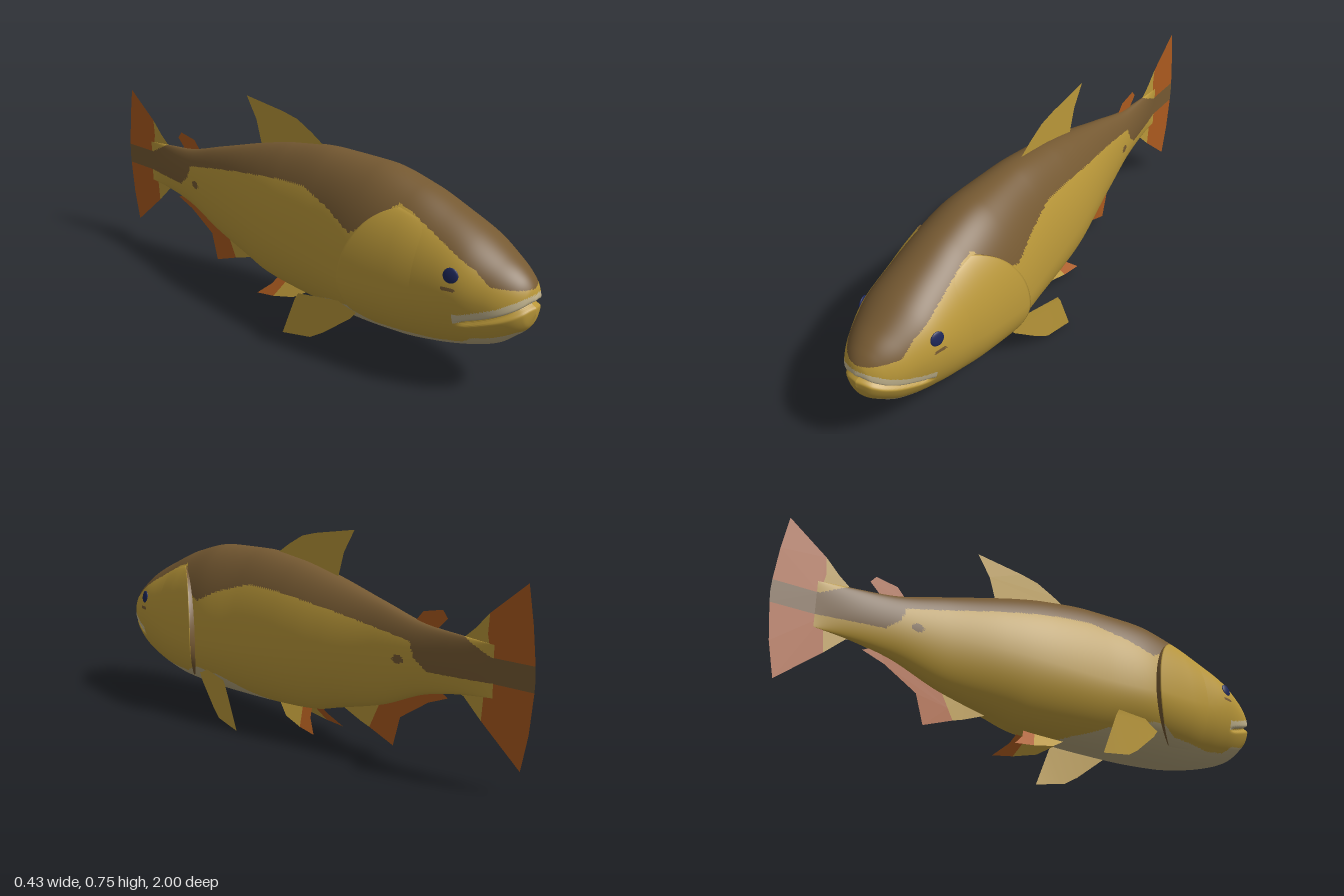
import * as THREE from 'three';

const mat = (name, color, side = THREE.FrontSide) => {
  const m = new THREE.MeshStandardMaterial({ color, side });
  m.name = name;
  return m;
};

// Body stations from nose to tail: z, top, bottom, height of widest point, half width
const STATIONS = [
  [1, 0.335, 0.3, 0.315, 0], [0.985, 0.385, 0.255, 0.318, 0.05], [0.945, 0.427, 0.213, 0.32, 0.092],
  [0.89, 0.462, 0.17, 0.33, 0.123], [0.8, 0.515, 0.135, 0.338, 0.157], [0.7, 0.56, 0.11, 0.318, 0.175],
  [0.57, 0.61, 0.09, 0.297, 0.189], [0.4, 0.645, 0.082, 0.29, 0.195], [0.2, 0.647, 0.08, 0.295, 0.174],
  [0, 0.625, 0.086, 0.31, 0.153], [-0.1, 0.605, 0.095, 0.32, 0.138], [-0.2, 0.58, 0.12, 0.33, 0.118],
  [-0.4, 0.525, 0.172, 0.345, 0.073], [-0.6, 0.473, 0.248, 0.36, 0.04], [-0.74, 0.46, 0.274, 0.367, 0.02],
  [-0.85, 0.45, 0.285, 0.37, 0],
];
// Lower edge of the dark back, and upper edge of the pale belly: z, y
const BACK_EDGE = [
  [1, 0.38], [0.9, 0.39], [0.85, 0.43], [0.8, 0.455], [0.75, 0.48], [0.6, 0.55], [0.55, 0.565], [0.5, 0.52], [0.45, 0.47], [0.4, 0.445],
  [0.3, 0.49], [0.15, 0.53], [0, 0.52], [-0.2, 0.49], [-0.4, 0.45], [-0.55, 0.42], [-0.57, 0.37], [-0.62, 0.33], [-1, 0.33],
];
const BELLY_EDGE = [
  [1, 0.24], [0.9, 0.24], [0.8, 0.167], [0.7, 0.15], [0.5, 0.152], [0.42, 0.185], [0.3, 0.17], [0.18, 0.12], [0.04, 0.08], [-1, 0],
];

// Monotone smooth interpolation of column k in a table sorted by falling z
function sample(table, z, k) {
  let i = 0;
  while (i < table.length - 2 && z < table[i + 1][0]) i++;
  const slope = (j) => (table[j + 1][k] - table[j][k]) / (table[j + 1][0] - table[j][0]);
  const tangent = (j) => {
    if (j === 0) return slope(0);
    if (j === table.length - 1) return slope(j - 1);
    const a = slope(j - 1), b = slope(j);
    return a * b <= 0 ? 0 : (2 * a * b) / (a + b);
  };
  const h = table[i + 1][0] - table[i][0];
  const t = THREE.MathUtils.clamp((z - table[i][0]) / h, 0, 1), t2 = t * t, t3 = t2 * t;
  return (2 * t3 - 3 * t2 + 1) * table[i][k] + (t3 - 2 * t2 + t) * h * tangent(i)
    + (3 * t2 - 2 * t3) * table[i + 1][k] + (t3 - t2) * h * tangent(i + 1);
}

function linear(table, z) {
  let i = 0;
  while (i < table.length - 2 && z < table[i + 1][0]) i++;
  const [z0, y0] = table[i], [z1, y1] = table[i + 1];
  return THREE.MathUtils.lerp(y0, y1, (z - z0) / (z1 - z0));
}

// Point on the body at station z and angle a (0 = left side, 90 degrees = top)
function surface(z, a, grow = 0) {
  const [top, bottom, mid, width] = [1, 2, 3, 4].map((k) => sample(STATIONS, z, k));
  const s = Math.sin(a), c = Math.cos(a);
  return new THREE.Vector3((width + grow) * c, mid + s * (s > 0 ? top - mid : mid - bottom), z);
}

const mouthLine = (x) => 0.335 - 4.2 * x * x;

// Material slot: 0 gold, 1 back, 2 belly, 3 lip
function skin({ x, y, z }) {
  const lip = y - mouthLine(x), across = Math.abs(x);
  if (z > 0.8 && lip > -0.005 && lip < 0.027 + 0.1 * across) return 3;
  if (z < -0.73) return y > 0.33 && y < 0.41 + Math.max(0, z + 0.84) * 0.5 ? 1 : 0;
  // Spot near the tail, and a small mark under the eye
  if (Math.hypot((z + 0.51) * 0.75, y - 0.355) < 0.015) return 1;
  if (Math.hypot((z - 0.785) * 0.25, y - 0.364) < 0.006) return 1;
  if (y > linear(BACK_EDGE, z) && (z < 0.58 || across < 0.12)) return 1;
  const chin = z > 0.75 ? 0.24 - Math.max(0, across - 0.04) * 0.7 : 1;
  return y < Math.min(chin, linear(BELLY_EDGE, z)) ? 2 : 0;
}

// Grid surface with its faces sorted into material groups
function loft(name, rows, cols, closed, point, slot, materials) {
  const pts = [], faces = materials.map(() => []);
  const n = closed ? cols : cols + 1;
  for (let i = 0; i <= rows; i++) for (let j = 0; j < n; j++) pts.push(point(i / rows, j / cols));
  for (let i = 0; i < rows; i++) for (let j = 0; j < cols; j++) {
    const a = i * n + j, b = i * n + ((j + 1) % n), c = a + n, d = b + n;
    for (const tri of [[a, c, b], [b, c, d]]) {
      const centre = new THREE.Vector3();
      tri.forEach((v) => centre.addScaledVector(pts[v], 1 / 3));
      faces[slot(centre, i / rows)].push(...tri);
    }
  }
  const geo = new THREE.BufferGeometry().setFromPoints(pts);
  geo.setIndex(faces.flat());
  let start = 0;
  faces.forEach((f, k) => { if (f.length) geo.addGroup(start, f.length, k); start += f.length; });
  geo.computeVertexNormals();
  const mesh = new THREE.Mesh(geo, materials);
  mesh.name = name;
  return mesh;
}

// Flat fin from a z, y outline; xOf leans it sideways
function fin(name, material, outline, xOf = () => 0) {
  const geo = new THREE.ShapeGeometry(new THREE.Shape(outline.map(([z, y]) => new THREE.Vector2(z, y))));
  const p = geo.attributes.position;
  for (let i = 0; i < p.count; i++) {
    const z = p.getX(i), y = p.getY(i);
    p.setXYZ(i, xOf(z, y), y, z);
  }
  geo.computeVertexNormals();
  const mesh = new THREE.Mesh(geo, material);
  mesh.name = name;
  return mesh;
}

export function createModel() {
  const group = new THREE.Group();
  group.name = 'fish';
  const gold = mat('gold flank', 0xb99739), back = mat('brown back', 0x755932);
  const belly = mat('pale belly', 0xb6a67c), lip = mat('pale lip', 0xc2b48e), eye = mat('dark blue eye', 0x1c2658);
  const goldFin = mat('gold fin', 0xb99739, THREE.DoubleSide);
  const orangeFin = mat('orange fin', 0xab5a1f, THREE.DoubleSide);
  const brownFin = mat('brown fin', 0x755932, THREE.DoubleSide);
  const skins = [gold, back, belly, lip];

  // Body, with the mouth pressed in along its line
  group.add(loft('body', 220, 210, true, (u, v) => {
    const p = surface(1 - 1.85 * Math.pow(u, 1.5), v * Math.PI * 2);
    const depth = Math.exp(-(((p.y - mouthLine(p.x) + 0.003) / 0.008) ** 2)) * THREE.MathUtils.smoothstep(p.z, 0.79, 0.86);
    p.x *= 1 - 0.1 * depth;
    p.z -= 0.018 * depth;
    return p;
  }, skin, skins));

  for (const side of [1, -1]) {
    const label = side > 0 ? 'left' : 'right';

    // Gill cover, lifting off the body towards its round rear edge
    group.add(loft(label + 'GillCover', 45, 70, false, (u, v) => {
      const t = side > 0 ? v : 1 - v;
      const a = THREE.MathUtils.lerp(-0.95, 0.97, t);
      const edge = 0.39 + (a > 0 ? 0.18 : 0.13) * a * a;
      const s = Math.min(u / 0.975, 1);
      const lift = u > 0.98 ? -0.006 : -0.004 + 0.026 * Math.pow(s, 1.3) * Math.pow(Math.sin(Math.PI * t), 0.4);
      return surface(THREE.MathUtils.lerp(0.74, edge, s), side > 0 ? a : Math.PI - a, lift);
    }, (c, u) => {
      if (u > 0.97) return 1;
      const own = skin(c);
      return c.z < 0.6 && own === 1 ? 0 : own;
    }, skins));

    // Eye, almost flush with the head
    const ball = new THREE.Mesh(new THREE.SphereGeometry(0.025, 20, 14), eye);
    ball.name = label + 'Eye';
    ball.scale.x = 0.25;
    ball.position.set(side * 0.1485, 0.407, 0.788);
    ball.rotation.set(0, side * -0.25, side * 0.15);
    group.add(ball);

    // Pectoral fin
    group.add(fin(label + 'PectoralFin', goldFin, [
      [0.44, 0.18], [0.4, 0.13], [0.3, 0.05], [0.25, 0.02], [0.13, 0], [0.19, 0.15], [0.205, 0.175], [0.36, 0.185],
    ], (z) => side * Math.min(0.148 + (0.43 - z) * 0.25, 0.206)));

    // Pelvic fin
    const splay = (z, y) => side * (0.025 + (0.09 - y) * 0.7);
    group.add(fin(label + 'PelvicFin', goldFin, [
      [0.1, 0.092], [0.03, 0.05], [-0.06, 0.03], [-0.03, 0.09], [-0.02, 0.1],
    ], splay));
    group.add(fin(label + 'PelvicFinTip', orangeFin, [
      [-0.02, 0.1], [-0.03, 0.09], [-0.06, 0.03], [-0.14, 0.02], [-0.09, 0.065], [-0.07, 0.105],
    ], splay));
  }

  // Fins along the middle
  group.add(fin('dorsalFin', goldFin, [
    [0.13, 0.63], [0.12, 0.645], [0.07, 0.675], [0, 0.71], [-0.07, 0.725], [-0.26, 0.75], [-0.21, 0.67], [-0.18, 0.57],
  ]));
  group.add(fin('adiposeFin', orangeFin, [
    [-0.53, 0.47], [-0.57, 0.515], [-0.65, 0.53], [-0.67, 0.505], [-0.62, 0.455],
  ]));
  group.add(fin('analFinFront', goldFin, [
    [-0.19, 0.135], [-0.3, 0.092], [-0.34, 0.08], [-0.36, 0.12], [-0.4, 0.2], [-0.3, 0.18],
  ]));
  group.add(fin('analFinRear', orangeFin, [
    [-0.34, 0.08], [-0.45, 0.04], [-0.48, 0.145], [-0.6, 0.22], [-0.68, 0.25], [-0.62, 0.28], [-0.4, 0.2], [-0.36, 0.12],
  ]));

  // Tail fin
  group.add(fin('tailRootUpper', goldFin, [
    [-0.74, 0.46], [-0.78, 0.493], [-0.83, 0.545], [-0.825, 0.48], [-0.84, 0.41],
  ]));
  group.add(fin('tailLobeUpper', orangeFin, [
    [-0.83, 0.545], [-0.965, 0.65], [-0.985, 0.53], [-0.998, 0.41], [-0.84, 0.41], [-0.825, 0.48],
  ]));
  group.add(fin('tailStripe', brownFin, [
    [-0.74, 0.46], [-0.84, 0.41], [-0.998, 0.41], [-1, 0.37], [-0.998, 0.33], [-0.74, 0.33],
  ]));
  group.add(fin('tailRootLower', goldFin, [[-0.7, 0.33], [-0.82, 0.33], [-0.81, 0.205], [-0.74, 0.27], [-0.7, 0.28]]));
  group.add(fin('tailLobeLower', orangeFin, [
    [-0.81, 0.205], [-0.96, 0.08], [-0.985, 0.2], [-0.998, 0.33], [-0.82, 0.33],
  ]));
  return group;
}
